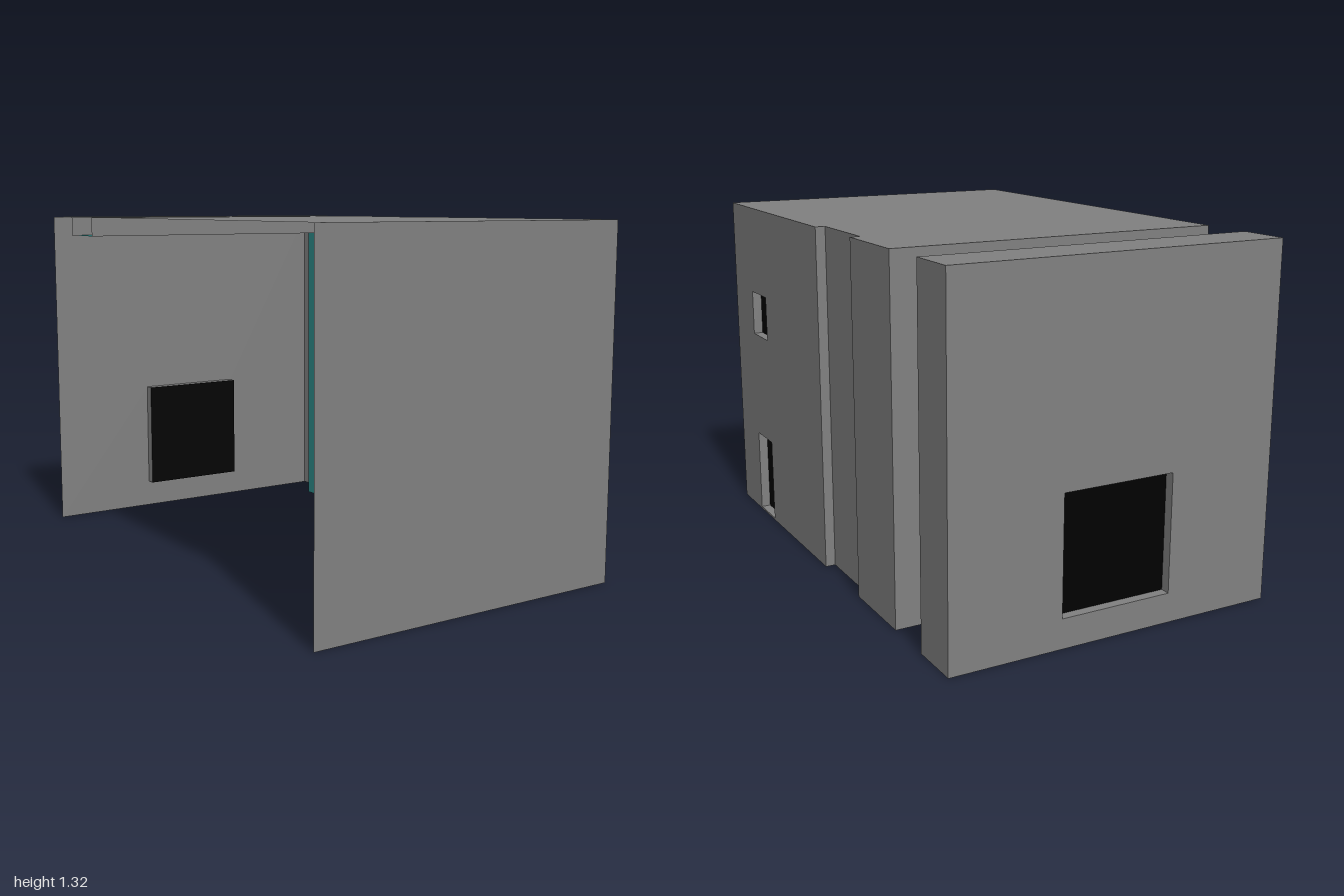
import * as THREE from 'three';

const W = 0.643, H = 1.32, CHANNEL_H = 1.245, CHANNEL_X = 0.537, NOTCH_X = 0.605;
const Z1 = 0.035, Z2 = -0.285, Z3 = -0.605, Z4 = -0.805;
const RECESS = 0.037;

const material = (color) => new THREE.MeshStandardMaterial({ color, side: THREE.DoubleSide });
const grey = material(0x808080);
const teal = material(0x2c8785);
const black = material(0x000000);

function mesh(name, geometry, mat) {
  const m = new THREE.Mesh(geometry, mat);
  m.name = name;
  return m;
}

function shapeOf(points) {
  return new THREE.Shape(points.map(([x, y]) => new THREE.Vector2(x, y)));
}

const rect = (x0, y0, x1, y1) => [[x0, y0], [x1, y0], [x1, y1], [x0, y1]];

// Dark panel set back in an opening, with its four reveals
function recessedOpening(name, [x0, y0, x1, y1]) {
  const g = new THREE.Group();
  g.name = name;
  const w = x1 - x0, h = y1 - y0, cx = (x0 + x1) / 2, cy = (y0 + y1) / 2;
  const pane = mesh('pane', new THREE.PlaneGeometry(w, h), black);
  pane.position.set(cx, cy, -RECESS);
  g.add(pane);
  for (const s of [-1, 1]) {
    const jamb = mesh('jamb', new THREE.PlaneGeometry(RECESS, h), grey);
    jamb.rotation.y = -s * Math.PI / 2;
    jamb.position.set(cx + s * w / 2, cy, -RECESS / 2);
    const ledge = mesh(s < 0 ? 'sill' : 'lintel', new THREE.PlaneGeometry(w, RECESS), grey);
    ledge.rotation.x = s * Math.PI / 2;
    ledge.position.set(cx, cy + s * h / 2, -RECESS / 2);
    g.add(jamb, ledge);
  }
  return g;
}

// Thin upright wall between two plan points; its outside is on the right of travel
function wall(name, [x0, z0], [x1, z1], { bottom = 0, top = H, mat = grey, openings = {} } = {}) {
  const g = new THREE.Group();
  g.name = name;
  const shape = shapeOf(rect(0, bottom, Math.hypot(x1 - x0, z1 - z0), top));
  for (const [label, o] of Object.entries(openings)) {
    shape.holes.push(new THREE.Path(rect(...o).reverse().map(([x, y]) => new THREE.Vector2(x, y))));
    g.add(recessedOpening(label, o));
  }
  g.add(mesh(name + 'Face', new THREE.ShapeGeometry(shape), mat));
  g.position.set(x0, 0, z0);
  g.rotation.y = Math.atan2(z0 - z1, x1 - x0);
  return g;
}

// Flat roof from plan points [x, z]
function roof(name, plan, y, mat) {
  const m = mesh(name, new THREE.ShapeGeometry(shapeOf(plan.map(([x, z]) => [x, -z]))), mat);
  m.rotation.x = -Math.PI / 2;
  m.position.y = y;
  return m;
}

export function createModel() {
  const model = new THREE.Group();
  model.name = 'building';

  // Outer walls, from the front round to the back; the -x side and base stay open
  const sideOpenings = {
    door: [1 - 0.787, 0.008, 1 - 0.622, 0.347],
    window: [1 - 0.787, 0.787, 1 - 0.622, 0.967],
  };
  const backOpenings = { backWindow: [W - 0.217, 0.11, W + 0.217, 0.55] };
  const path = [
    ['frontWall', [-W, 1]],
    ['sideWall', [W, 1], { openings: sideOpenings }],
    ['notchFrontStep', [W, Z1]],
    ['notchWall', [NOTCH_X, Z1]],
    ['notchBackStep', [NOTCH_X, Z2]],
    ['sideWallRear', [W, Z2]],
    ['channelFrontStep', [W, Z3]],
    ['channelWall', [CHANNEL_X, Z3], { top: CHANNEL_H, mat: teal }],
    ['channelBackStep', [CHANNEL_X, Z4]],
    ['backBlockSide', [W, Z4]],
    ['backWall', [W, -1], { openings: backOpenings }],
    ['end', [-W, -1]],
  ];
  for (let i = 0; i < path.length - 1; i++) {
    const [name, from, options] = path[i];
    model.add(wall(name, from, path[i + 1][1], options));
  }

  // Roofs, with the coloured channel set lower between two upstands
  model.add(
    roof('mainRoof', [[-W, 1], [W, 1], [W, Z1], [NOTCH_X, Z1], [NOTCH_X, Z2], [W, Z2], [W, Z3], [-W, Z3]], H, grey),
    roof('channelRoof', [[-W, Z3], [CHANNEL_X, Z3], [CHANNEL_X, Z4], [-W, Z4]], CHANNEL_H, teal),
    roof('backRoof', [[-W, Z4], [W, Z4], [W, -1], [-W, -1]], H, grey),
    wall('mainRoofUpstand', [CHANNEL_X, Z3], [-W, Z3], { bottom: CHANNEL_H }),
    wall('backRoofUpstand', [-W, Z4], [CHANNEL_X, Z4], { bottom: CHANNEL_H }),
  );
  return model;
}
